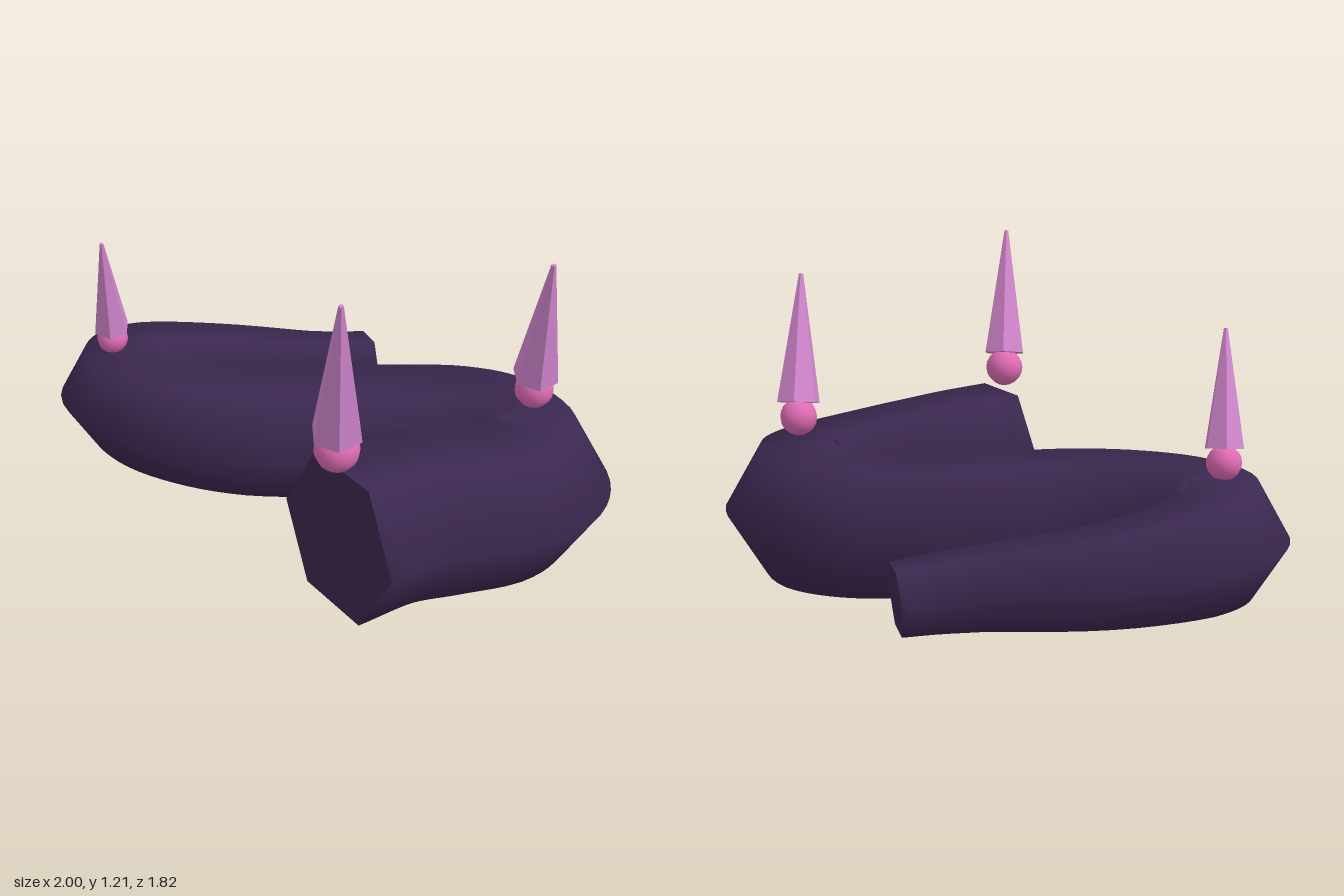
import * as THREE from 'three';

const SIDES = 6;
const STEPS = 90;

// Centre line of the body: x, y, z, radius
const PATH = [
  [-0.015, 0.34, 0.665, 0.287], [0.19, 0.325, 0.54, 0.285], [0.39, 0.295, 0.465, 0.282],
  [0.595, 0.26, 0.375, 0.279], [0.7, 0.247, 0.27, 0.276], [0.726, 0.245, 0.16, 0.274],
  [0.645, 0.245, -0.02, 0.27], [0.5, 0.247, -0.1, 0.266], [0.3, 0.252, -0.128, 0.259],
  [0, 0.275, -0.125, 0.25], [-0.3, 0.3, -0.11, 0.24], [-0.52, 0.318, -0.155, 0.23],
  [-0.69, 0.33, -0.25, 0.222], [-0.784, 0.333, -0.39, 0.216], [-0.765, 0.328, -0.5, 0.208],
  [-0.67, 0.315, -0.595, 0.196], [-0.41, 0.283, -0.695, 0.166], [-0.03, 0.25, -0.737, 0.134],
  [0.12, 0.238, -0.764, 0.125], [0.23, 0.23, -0.8, 0.117],
];

function geometryFrom(points, index) {
  const g = new THREE.BufferGeometry();
  g.setFromPoints(points);
  g.setIndex(index);
  g.computeVertexNormals();
  return g;
}

// Tapered hexagonal tube with flat top and bottom, closed at both ends
function makeBody(material) {
  const curve = new THREE.CatmullRomCurve3(PATH.map((p) => new THREE.Vector3(p[0], p[1], p[2])));
  const up = new THREE.Vector3(0, 1, 0);
  const rings = [];
  for (let i = 0; i <= STEPS; i++) {
    const t = i / STEPS;
    const centre = curve.getPoint(t);
    const tangent = curve.getTangent(t);
    const side = tangent.clone().cross(up).normalize();
    const normal = side.clone().cross(tangent);
    const f = t * (PATH.length - 1);
    const k = Math.min(Math.floor(f), PATH.length - 2);
    const r = THREE.MathUtils.lerp(PATH[k][3], PATH[k + 1][3], f - k);
    const ring = [];
    for (let j = 0; j < SIDES; j++) {
      const a = (j / SIDES) * Math.PI * 2;
      ring.push(centre.clone()
        .addScaledVector(side, r * Math.cos(a))
        .addScaledVector(normal, r * Math.sin(a)));
    }
    rings.push(ring);
  }

  const index = [];
  for (let i = 0; i < STEPS; i++) {
    for (let j = 0; j < SIDES; j++) {
      const a = i * SIDES + j;
      const b = i * SIDES + ((j + 1) % SIDES);
      const c = a + SIDES;
      const d = b + SIDES;
      index.push(a, c, b, b, c, d);
    }
  }

  const body = new THREE.Group();
  body.name = 'body';
  const skin = new THREE.Mesh(geometryFrom(rings.flat(), index), material);
  skin.name = 'bodySkin';
  body.add(skin);

  // End caps
  [['frontCap', rings[0]], ['tailCap', rings[STEPS].slice().reverse()]].forEach(([name, ring]) => {
    const fan = [];
    for (let j = 1; j < SIDES - 1; j++) fan.push(0, j, j + 1);
    const cap = new THREE.Mesh(geometryFrom(ring, fan), material);
    cap.name = name;
    body.add(cap);
  });
  return body;
}

// Ball with a forward-leaning six-sided spike
function makeSpike({ ball, ballRadius, base, radius, length }, ballMaterial, spikeMaterial) {
  const group = new THREE.Group();
  group.name = 'spikeWithBall';

  const sphere = new THREE.Mesh(new THREE.SphereGeometry(ballRadius, 12, 10), ballMaterial);
  sphere.name = 'spikeBall';
  sphere.position.set(...ball);

  const cone = new THREE.CylinderGeometry(radius * 0.1, radius, length, 6);
  cone.translate(0, length / 2, 0);
  const spike = new THREE.Mesh(cone, spikeMaterial);
  spike.name = 'spike';
  spike.position.set(...base);
  spike.rotation.x = 0.24;

  group.add(sphere, spike);
  return group;
}

export function createModel() {
  const bodyMaterial = new THREE.MeshStandardMaterial({ color: 0x3b2850 });
  const ballMaterial = new THREE.MeshStandardMaterial({ color: 0xe06cb4 });
  const spikeMaterial = new THREE.MeshStandardMaterial({ color: 0xd488d0, flatShading: true });

  const model = new THREE.Group();
  model.name = 'spikedCoil';
  model.add(makeBody(bodyMaterial));

  const spikes = [
    { ball: [-0.015, 0.677, 0.672], ballRadius: 0.073, base: [-0.015, 0.735, 0.677], radius: 0.085, length: 0.495 },
    { ball: [0.718, 0.577, 0.147], ballRadius: 0.069, base: [0.718, 0.63, 0.153], radius: 0.082, length: 0.478 },
    { ball: [-0.785, 0.566, -0.384], ballRadius: 0.058, base: [-0.785, 0.611, -0.377], radius: 0.068, length: 0.39 },
  ];
  spikes.forEach((s) => model.add(makeSpike(s, ballMaterial, spikeMaterial)));
  return model;
}
